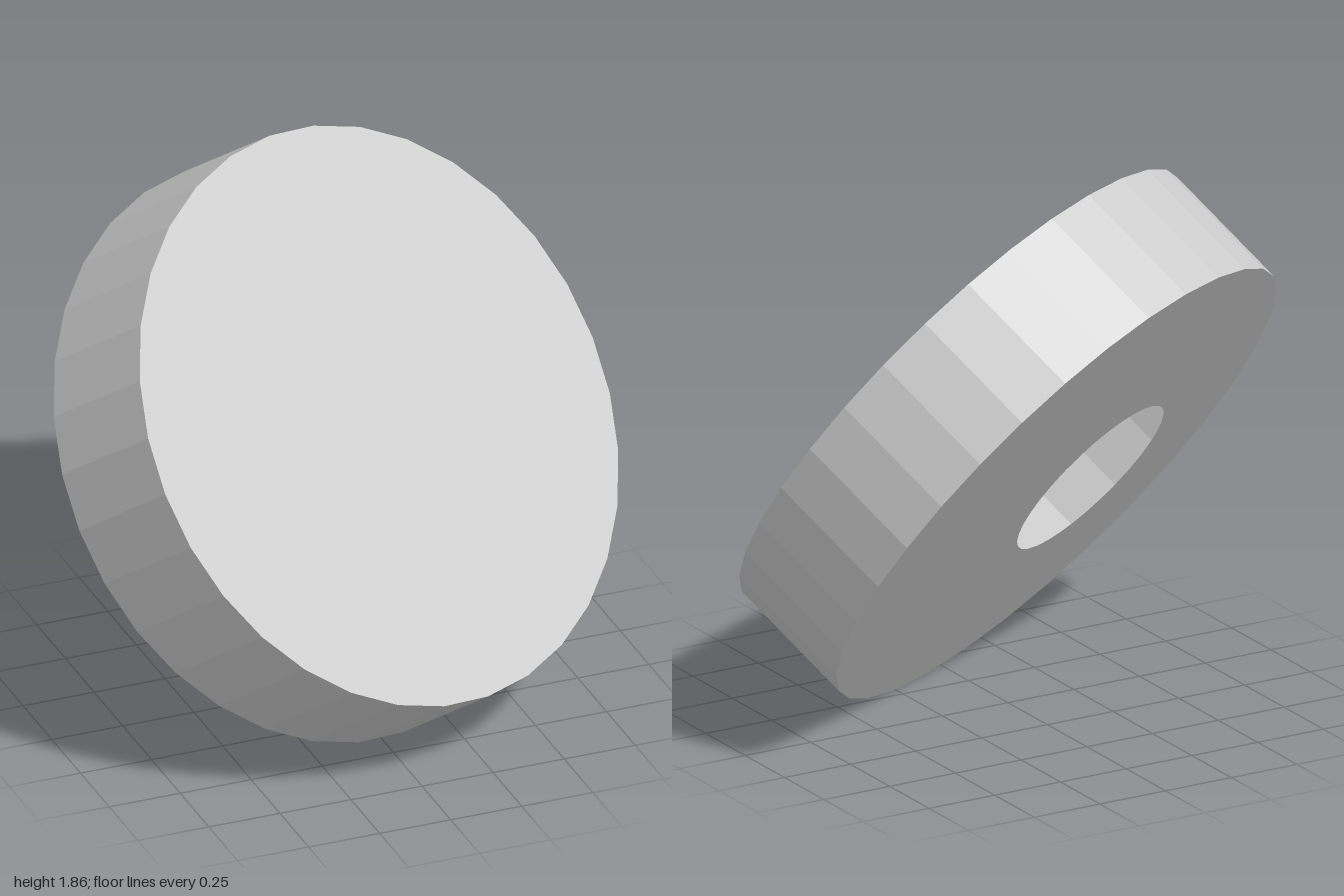
import * as THREE from 'three';

const RADIUS = 0.982, THICKNESS = 0.465, SIDES = 32;
const HOLE = { x: -0.28, y: -0.088, radius: 0.327 };
const STEP = (Math.PI * 2) / SIDES;

// Regular polygon whose topmost edge is level
function ring(radius, cx = 0, cy = 0) {
  return Array.from({ length: SIDES }, (_, i) => new THREE.Vector2(
    cx + radius * Math.cos((i + 0.5) * STEP),
    cy + radius * Math.sin((i + 0.5) * STEP)));
}

export function createModel() {
  const group = new THREE.Group();
  group.name = 'hollowDisc';
  const material = new THREE.MeshStandardMaterial({
    color: 0xcccccc, flatShading: true, side: THREE.DoubleSide,
  });
  const add = (name, geometry) => {
    const mesh = new THREE.Mesh(geometry, material);
    mesh.name = name;
    group.add(mesh);
  };

  // Thin faceted side wall, axis along local z
  add('rim', new THREE.CylinderGeometry(RADIUS, RADIUS, THICKNESS, SIDES, 1, true, STEP / 2)
    .rotateX(Math.PI / 2));

  // Closed front
  add('frontCap', new THREE.ShapeGeometry(new THREE.Shape(ring(RADIUS)))
    .translate(0, 0, THICKNESS / 2));

  // Back with an off-centre round opening into the hollow inside
  const back = new THREE.Shape(ring(RADIUS));
  back.holes.push(new THREE.Path(ring(HOLE.radius, -HOLE.x, HOLE.y)));
  add('backCapWithHole', new THREE.ShapeGeometry(back)
    .rotateY(Math.PI).translate(0, 0, -THICKNESS / 2));

  // Tilt so the front cap faces forward, up and to the left
  const normal = new THREE.Vector3(0.355, 0.581, 0.732).normalize();
  const across = new THREE.Vector3(0, 1, 0).cross(normal).normalize();
  const upward = normal.clone().cross(across);
  group.quaternion.setFromRotationMatrix(
    new THREE.Matrix4().makeBasis(across, upward, normal));
  group.position.y = 0.93;
  return group;
}
